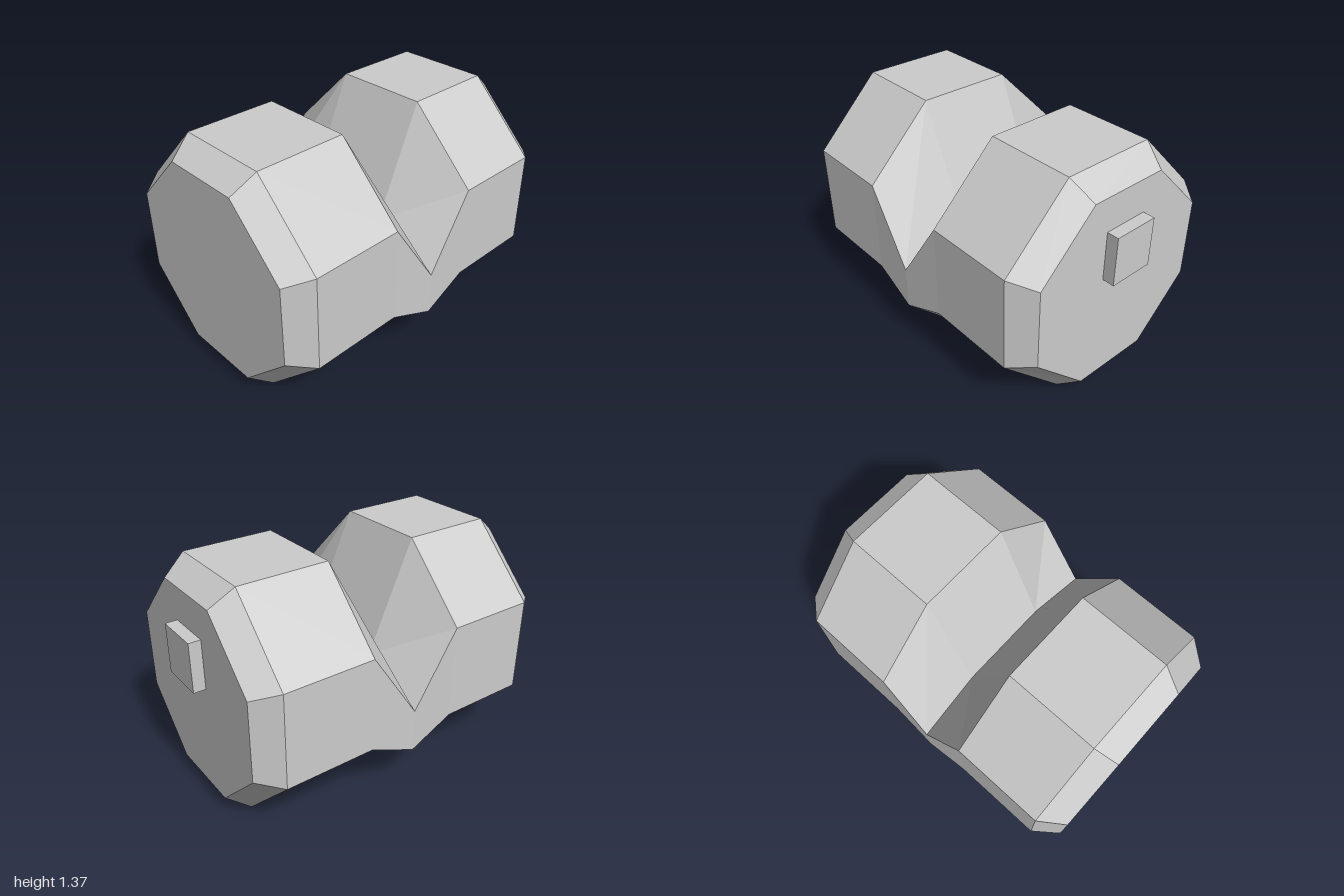
import * as THREE from 'three';

// Octagonal ring in the plane at x; half-profile given from top to bottom as [z, y]
function ring(x, half) {
  const front = half.map(([z, y]) => new THREE.Vector3(x, y, z));
  const back = half.map(([z, y]) => new THREE.Vector3(x, y, -z)).reverse();
  return [...front, ...back];
}

// Faceted skin through the rings, closed at both ends
function loft(rings) {
  const pts = [];
  const n = rings[0].length;
  for (let r = 0; r < rings.length - 1; r++) {
    for (let i = 0; i < n; i++) {
      const j = (i + 1) % n;
      const a = rings[r][i], b = rings[r][j], c = rings[r + 1][j], d = rings[r + 1][i];
      pts.push(a, b, c, a, c, d);
    }
  }
  const first = rings[0], last = rings[rings.length - 1];
  for (let i = 1; i < n - 1; i++) {
    pts.push(first[0], first[i + 1], first[i]);
    pts.push(last[0], last[i], last[i + 1]);
  }
  const geometry = new THREE.BufferGeometry().setFromPoints(pts);
  geometry.computeVertexNormals();
  return geometry;
}

export function createModel() {
  const group = new THREE.Group();
  group.name = 'notchedBarrel';

  const grey = new THREE.MeshStandardMaterial({ color: 0xcccccc });
  grey.name = 'light grey';

  // Body: bevelled ends, full octagon, pinched waist with a deep notch on top
  const end = [[0.24, 1.262], [0.58, 0.924], [0.58, 0.443], [0.24, 0.105]];
  const full = [[0.283, 1.365], [0.682, 0.967], [0.682, 0.402], [0.283, 0]];
  const waist = [[0.283, 0.72], [0.692, 0.543], [0.692, 0.282], [0.283, 0.1]];
  const body = new THREE.Mesh(loft([
    ring(-1, end), ring(-0.863, full), ring(-0.32, full),
    ring(-0.036, waist),
    ring(0.25, full), ring(0.793, full), ring(0.93, end),
  ]), grey);
  body.name = 'body';
  group.add(body);

  // Small raised block on the left end
  const block = new THREE.Mesh(new THREE.BoxGeometry(0.08, 0.293, 0.272), grey);
  block.name = 'endBlock';
  block.position.set(0.96, 0.911, 0);
  group.add(block);

  return group;
}
